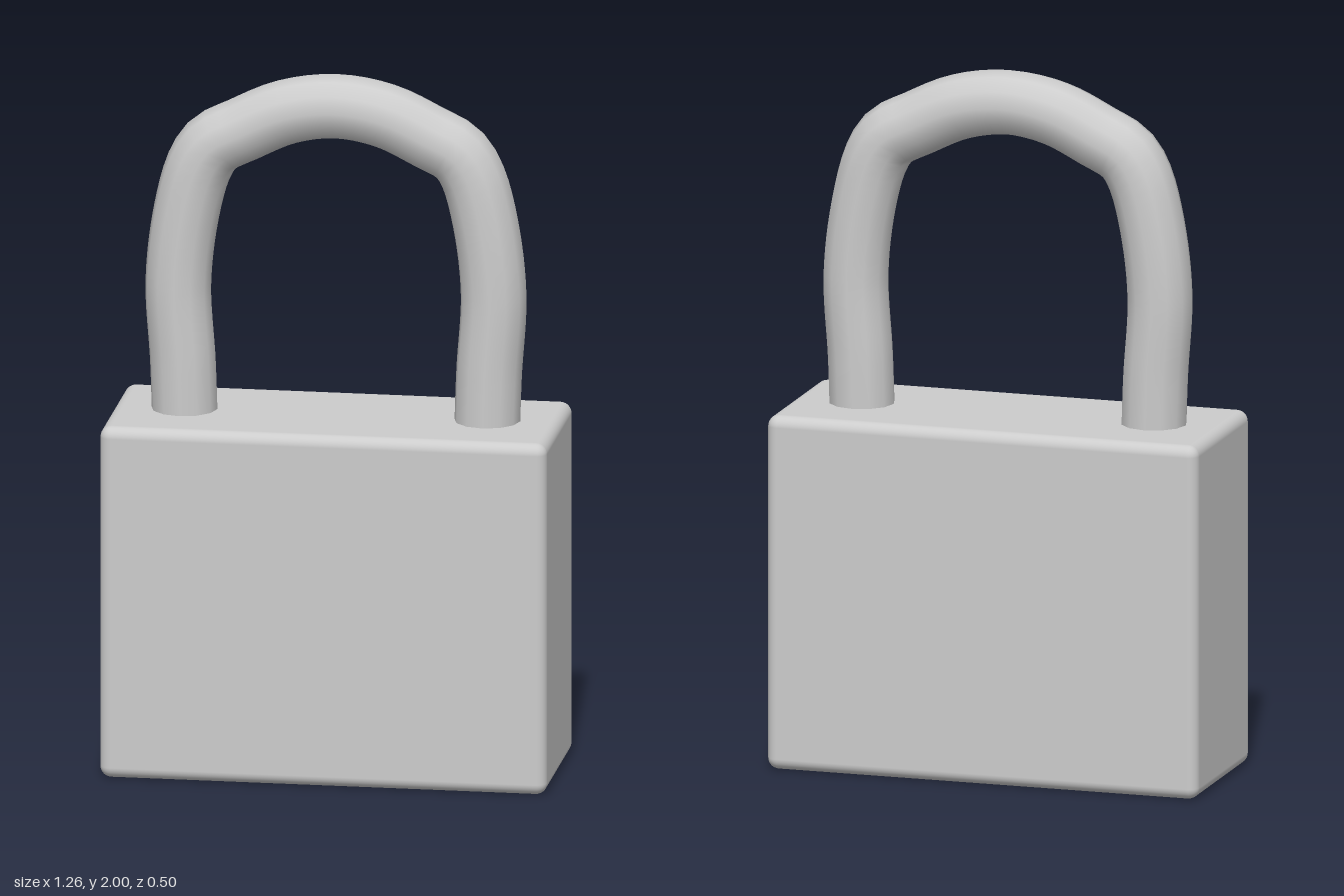
import * as THREE from 'three';
import { RoundedBoxGeometry } from 'three/addons/geometries/RoundedBoxGeometry.js';

export function createModel() {
  const model = new THREE.Group();
  model.name = 'padlock';
  const steel = new THREE.MeshStandardMaterial({ color: 0xcccccc });
  steel.name = 'light grey steel';

  // Solid body with softly rounded edges
  const body = new THREE.Mesh(new RoundedBoxGeometry(1.264, 1.016, 0.504, 4, 0.032), steel);
  body.name = 'body';
  body.position.y = 0.508;
  model.add(body);

  // Shackle: half of the centre line, mirrored across x, swept as a tube
  const half = [
    [0.426, 0.93], [0.433, 1.15], [0.446, 1.38], [0.424, 1.58],
    [0.385, 1.725], [0.345, 1.785], [0.265, 1.828], [0.14, 1.885],
  ];
  const right = half.map(([x, y]) => new THREE.Vector3(-x, y, 0));
  const left = half.map(([x, y]) => new THREE.Vector3(x, y, 0)).reverse();
  const path = new THREE.CatmullRomCurve3([...right, new THREE.Vector3(0, 1.907, 0), ...left]);
  const shackle = new THREE.Mesh(new THREE.TubeGeometry(path, 72, 0.093, 12), steel);
  shackle.name = 'shackle';
  model.add(shackle);

  return model;
}
